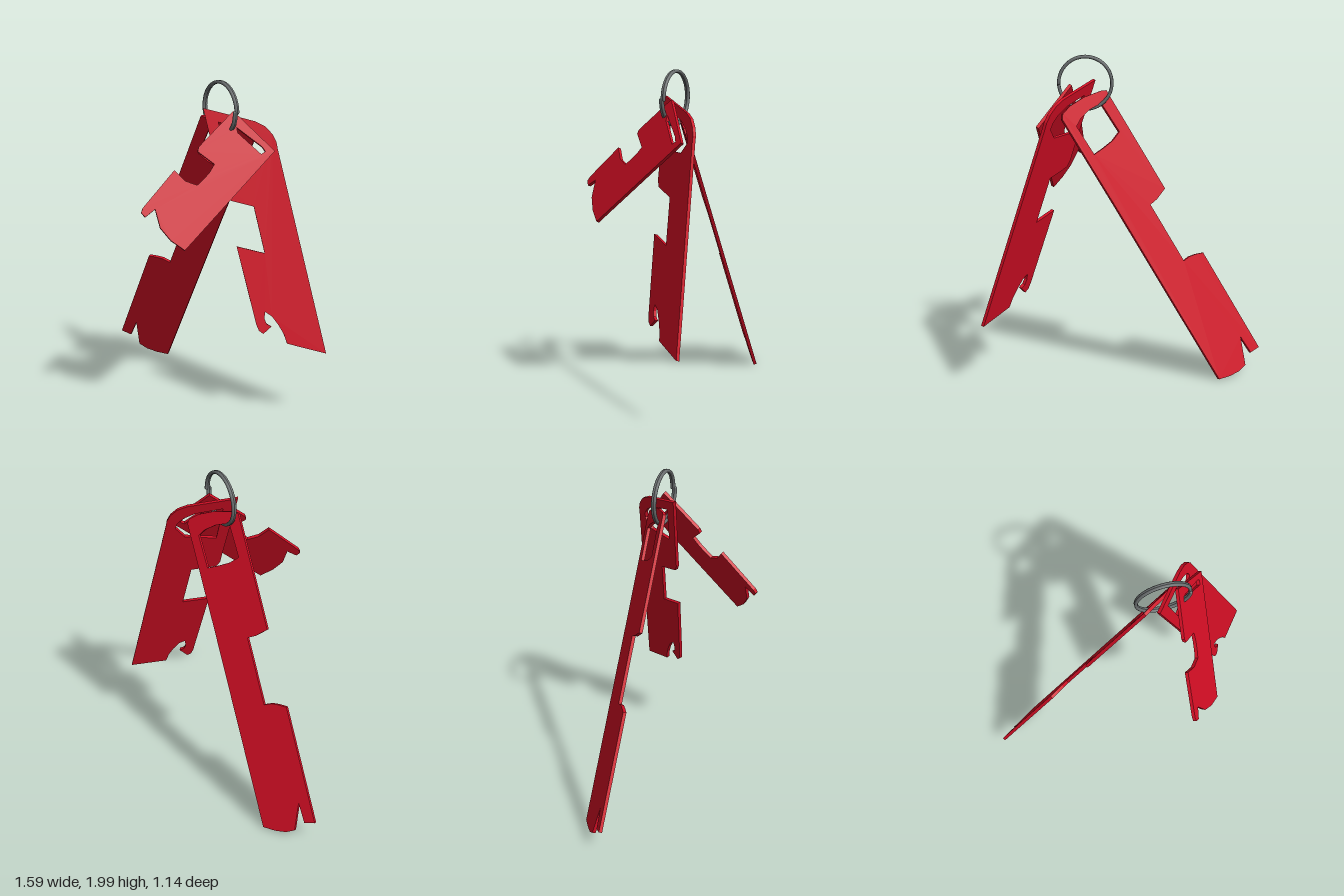
import * as THREE from 'three';

const THICKNESS = 0.02;

// Flat plate drawn in x/y and laid on the plane z = a + b*x + c*y
function plate(name, material, [a, b, c], outline, hole) {
  const toVectors = (pts) => pts.map(([x, y]) => new THREE.Vector2(x, y));
  const shape = new THREE.Shape(toVectors(outline));
  shape.holes.push(new THREE.Path(toVectors(hole)));
  const extruded = new THREE.ExtrudeGeometry(shape, { depth: THICKNESS, bevelEnabled: false });
  const normal = new THREE.Vector3(-b, -c, 1).normalize();
  const pos = extruded.attributes.position;
  const p = new THREE.Vector3();
  for (let i = 0; i < pos.count; i++) {
    const x = pos.getX(i), y = pos.getY(i), d = pos.getZ(i) - THICKNESS / 2;
    p.set(x, y, a + b * x + c * y).addScaledVector(normal, d);
    pos.setXYZ(i, p.x, p.y, p.z);
  }
  extruded.computeVertexNormals();
  const mesh = new THREE.Mesh(extruded, material);
  mesh.name = name;
  return mesh;
}

// Split ring: a tight two-turn coil
class Coil extends THREE.Curve {
  getPoint(t, target = new THREE.Vector3()) {
    const angle = t * Math.PI * 4;
    return target.set(0.158 * Math.cos(angle), 0.158 * Math.sin(angle), (t - 0.5) * 0.022);
  }
}

export function createModel() {
  const red = new THREE.MeshStandardMaterial({ color: 0xd20e24 });
  red.name = 'red';
  const steel = new THREE.MeshStandardMaterial({ color: 0x6a6e6f });
  steel.name = 'steel grey';

  const group = new THREE.Group();
  group.name = 'toolKeyring';

  // Long blade leaning back to the lower right of the model
  group.add(plate('longBlade', red, [-0.5, 0.1, 0.31], [
    [-0.47, 0.01], [0.03, 1.09], [0.29, 1.64], [0.28, 1.67], [0.22, 1.71],
    [0.12, 1.75], [0.0, 1.775], [-0.035, 1.775],
    [-0.32, 1.17], [-0.25, 1.115], [-0.2, 1.09],
    [-0.365, 0.735], [-0.41, 0.755], [-0.46, 0.762], [-0.51, 0.763],
    [-0.796, 0.146], [-0.73, 0.125], [-0.675, 0.23],
    [-0.675, 0.06], [-0.62, 0.03], [-0.55, 0.015],
  ], [
    [-0.075, 1.53], [-0.02, 1.485], [0.05, 1.45], [0.12, 1.42],
    [0.205, 1.59], [0.17, 1.63], [0.1, 1.675], [0.015, 1.705],
  ]));

  // Middle blade with a hooked tip
  group.add(plate('hookBlade', red, [0.539, -0.351, -0.231], [
    [0.786, 0.415], [0.43, 1.6], [0.42, 1.64], [0.395, 1.685], [0.35, 1.73], [0.29, 1.76],
    [0, 1.835], [0.13, 1.4], [0.145, 1.345], [0.17, 1.31], [0.204, 1.3],
    [0.32, 1.27], [0.4, 1.0], [0.241, 1.04],
    [0.383, 0.585], [0.4, 0.55], [0.426, 0.532], [0.468, 0.574], [0.44, 0.59],
    [0.426, 0.62], [0.426, 0.66], [0.465, 0.635], [0.505, 0.585], [0.54, 0.53], [0.563, 0.474],
  ], [
    [0.09, 1.755], [0.15, 1.53], [0.33, 1.53], [0.375, 1.59], [0.36, 1.63], [0.32, 1.67], [0.25, 1.71],
  ]));

  // Short blade swung forward
  group.add(plate('shortBlade', red, [1.076, -0.508, -0.483], [
    [0.03, 1.085], [0.43, 1.6], [0.18, 1.825],
    [0.024, 1.635], [0.024, 1.61], [0.12, 1.54], [0.1, 1.495], [0.07, 1.455], [0.045, 1.43],
    [-0.02, 1.455], [-0.085, 1.515],
    [-0.22, 1.32], [-0.225, 1.295], [-0.2, 1.27], [-0.155, 1.31], [-0.115, 1.21], [-0.05, 1.14],
  ], [
    [0.21, 1.735], [0.22, 1.705], [0.36, 1.585], [0.38, 1.6], [0.36, 1.625],
  ]));

  // Ring through the three blades
  const ring = new THREE.Mesh(new THREE.TubeGeometry(new Coil(), 128, 0.01, 10, false), steel);
  ring.name = 'splitRing';
  ring.position.set(0.093, 1.83, 0.075);
  ring.rotation.y = -0.64;
  group.add(ring);

  // Rounded ends of the coil wire
  for (const side of [-1, 1]) {
    const end = new THREE.Mesh(new THREE.SphereGeometry(0.01, 10, 8), steel);
    end.name = 'ringEnd';
    end.position.set(0.158, 0, side * 0.011);
    ring.add(end);
  }
  return group;
}
